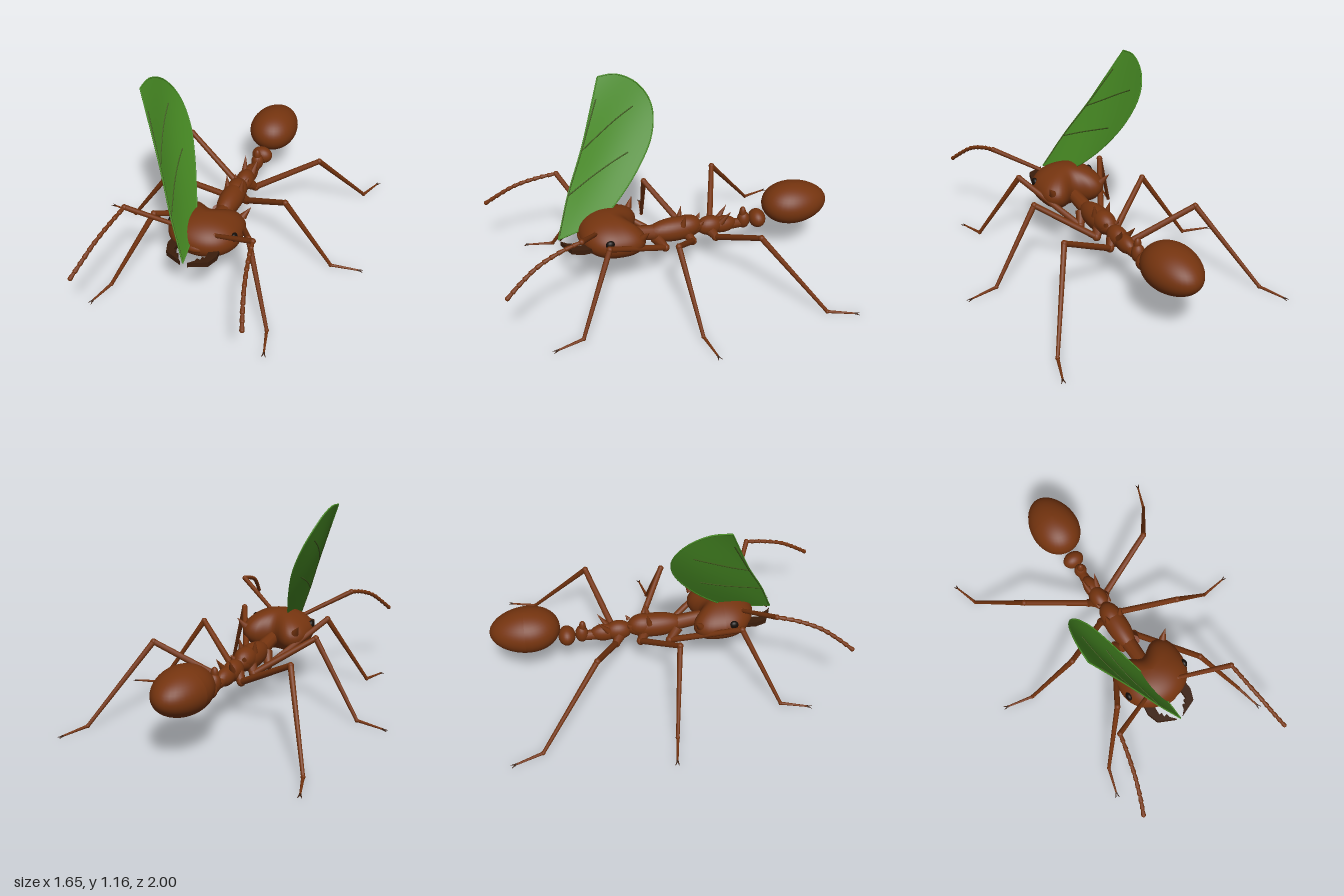
import * as THREE from 'three';

const material = (name, color, side = THREE.FrontSide) => {
  const m = new THREE.MeshStandardMaterial({ color, side });
  m.name = name;
  return m;
};

export function createModel() {
  const brown = material('chestnut brown', 0x75340f);
  const dark = material('dark brown', 0x3a1d0c);
  const black = material('eye black', 0x140d08);
  const green = material('leaf green', 0x488c24, THREE.DoubleSide);
  const veinGreen = material('vein olive', 0x3f5a1c);
  const model = new THREE.Group();
  const V = (a) => new THREE.Vector3(...a);

  const add = (name, geometry, mat, parent = model) => {
    const mesh = new THREE.Mesh(geometry, mat);
    mesh.name = name;
    parent.add(mesh);
    return mesh;
  };
  const group = (name) => {
    const g = new THREE.Group();
    g.name = name;
    model.add(g);
    return g;
  };
  const blob = (name, centre, radii, mat = brown, parent = model) => {
    const mesh = add(name, new THREE.SphereGeometry(1, 24, 16), mat, parent);
    mesh.position.set(...centre);
    mesh.scale.set(...radii);
  };
  const joint = (name, centre, r, parent) => {
    add(name, new THREE.SphereGeometry(r, 12, 8), brown, parent).position.set(...centre);
  };
  // Tapered rod between two points
  const rod = (name, a, b, ra, rb, parent = model, mat = brown) => {
    const from = V(a), dir = V(b).sub(from);
    const mesh = add(name, new THREE.CylinderGeometry(rb, ra, dir.length(), 10), mat, parent);
    mesh.position.copy(from).addScaledVector(dir, 0.5);
    mesh.quaternion.setFromUnitVectors(new THREE.Vector3(0, 1, 0), dir.normalize());
  };

  // Abdomen: egg, slimmer toward the rear
  const egg = new THREE.SphereGeometry(1, 36, 24);
  const p = egg.attributes.position;
  for (let i = 0; i < p.count; i++) {
    const z = p.getZ(i), k = 1 + 0.1 * z;
    p.setXYZ(i, p.getX(i) * 0.147 * k, p.getY(i) * 0.124 * k, z * 0.2);
  }
  egg.computeVertexNormals();
  add('abdomen', egg, brown).position.set(0, 0.357, -0.8);

  // Waist and thorax
  blob('rearWaistNode', [0, 0.28, -0.565], [0.065, 0.054, 0.05]);
  blob('frontWaistNode', [0, 0.285, -0.478], [0.038, 0.055, 0.038]);
  blob('waistNodeCrest', [0, 0.335, -0.472], [0.022, 0.04, 0.02]);
  rod('waistStalk', [0, 0.27, -0.36], [0, 0.265, -0.5], 0.034, 0.026);
  blob('rearThorax', [0, 0.278, -0.345], [0.045, 0.052, 0.085]);
  blob('middleThorax', [0, 0.285, -0.265], [0.054, 0.06, 0.08]);
  blob('frontThorax', [0, 0.3, -0.05], [0.068, 0.072, 0.175]);
  blob('frontThoraxHump', [0, 0.31, -0.12], [0.062, 0.065, 0.09]);
  rod('neck', [0, 0.3, 0.08], [0, 0.33, 0.26], 0.045, 0.04);

  // Head: squared at the back with a notch between two lobes
  const head = new THREE.SphereGeometry(1, 48, 32);
  const h = head.attributes.position;
  for (let i = 0; i < h.count; i++) {
    const nx = h.getX(i), ny = h.getY(i), nz = h.getZ(i);
    const angle = Math.atan2(nz, nx), e = nz < 0 ? 3.4 : 2.1;
    const k = (Math.abs(Math.cos(angle)) ** e + Math.abs(Math.sin(angle)) ** e) ** (-1 / e);
    const x = nx * k * 0.208;
    let z = nz * k * 0.188;
    if (nz < 0) z -= nz * k * 0.075 * Math.exp(-((x / 0.075) ** 2));
    h.setXYZ(i, x, ny * 0.122 + z * 0.04, z);
  }
  head.computeVertexNormals();
  add('head', head, brown).position.set(0, 0.358, 0.335);
  blob('faceShield', [0, 0.36, 0.48], [0.08, 0.035, 0.05]);

  // Toothed jaw blade
  const mandibleShape = new THREE.Shape([
    [0.06, -0.45], [0.14, -0.47], [0.145, -0.52], [0.122, -0.585], [0.02, -0.63],
    [0.05, -0.598], [0.055, -0.575], [0.075, -0.58], [0.075, -0.555], [0.092, -0.555], [0.09, -0.51],
  ].map((q) => new THREE.Vector2(...q)));
  const mandibleGeometry = new THREE.ExtrudeGeometry(mandibleShape, { depth: 0.03, bevelEnabled: false });
  mandibleGeometry.rotateX(-Math.PI / 2);

  for (const s of [1, -1]) {
    const side = s > 0 ? 'left' : 'right';
    const M = ([x, y, z]) => [x * s, y, z];

    const mandible = add(side + 'Mandible', mandibleGeometry, dark);
    mandible.scale.x = s;
    mandible.position.y = 0.33;
    blob(side + 'Eye', M([0.187, 0.395, 0.38]), [0.018, 0.026, 0.026], black);

    // Spines on head and thorax
    const spines = group(side + 'Spines');
    [
      [[0.165, 0.39, 0.19], [0.2, 0.442, 0.16], 0.022],
      [[0.04, 0.34, -0.085], [0.052, 0.415, -0.1], 0.02],
      [[0.035, 0.33, -0.2], [0.045, 0.352, -0.215], 0.014],
      [[0.026, 0.305, -0.325], [0.042, 0.38, -0.38], 0.02],
    ].forEach(([a, b, r]) => rod('spine', M(a), M(b), r, 0.001, spines));

    // Antenna: long first segment, then a curved chain of beads
    const antenna = group(side + 'Antenna');
    const socket = M([0.1, 0.425, 0.44]), elbow = M([0.365, 0.575, 0.57]);
    joint('antennaSocket', socket, 0.02, antenna);
    rod('antennaShaft', socket, elbow, 0.012, 0.015, antenna);
    joint('antennaElbow', elbow, 0.016, antenna);
    const whip = new THREE.CatmullRomCurve3([
      elbow, M([0.385, 0.552, 0.68]), M([0.415, 0.505, 0.81]), M([0.445, 0.44, 0.91]), M([0.472, 0.382, 0.985]),
    ].map(V));
    const beads = 11;
    for (let i = 0; i < beads; i++) {
      const a = whip.getPointAt(i / beads).toArray(), b = whip.getPointAt((i + 1) / beads).toArray();
      rod('antennaBead', a, b, 0.008, 0.013, antenna);
      joint('antennaBeadEnd', b, 0.013, antenna);
    }

    // Legs: body joint, hip, knee, ankle, toe
    const legs = {
      FrontLeg: [[0.035, 0.29, 0.08], [0.07, 0.23, 0.03], [0.28, 0.435, 0.405], [0.47, 0.016, 0.61], [0.508, 0.008, 0.755]],
      MiddleLeg: [[0.03, 0.28, -0.11], [0.06, 0.235, -0.14], [0.36, 0.435, 0.04], [0.638, 0.016, -0.015], [0.795, 0.008, -0.042]],
      HindLeg: [[0.03, 0.27, -0.26], [0.06, 0.235, -0.285], [0.416, 0.435, -0.418], [0.64, 0.016, -0.75], [0.69, 0.008, -0.895]],
    };
    for (const [name, points] of Object.entries(legs)) {
      const leg = group(side + name);
      const [body, hip, knee, ankle, toe] = points.map(M);
      rod('hip', body, hip, 0.036, 0.022, leg);
      joint('hipJoint', hip, 0.025, leg);
      rod('thigh', hip, knee, 0.019, 0.016, leg);
      joint('knee', knee, 0.018, leg);
      rod('shin', knee, ankle, 0.016, 0.01, leg);
      joint('ankle', ankle, 0.012, leg);
      rod('foot', ankle, toe, 0.009, 0.005, leg);
      // Forked claw
      const out = V(toe).sub(V(ankle)).setY(0).normalize();
      for (const f of [1, -1]) {
        const tip = V(toe).addScaledVector(out, 0.03)
          .add(new THREE.Vector3(-out.z, 0, out.x).multiplyScalar(0.011 * f));
        rod('claw', toe, [tip.x, 0.004, tip.z], 0.005, 0.001, leg, dark);
      }
    }
  }

  // Leaf held in the jaws: a slanted, slightly cupped blade, outlined in z and y
  const leafX = (z, y) => {
    const t = (y - 0.36) / 0.795;
    const d = Math.max(0, 0.635 - 0.345 * t - z);
    return -0.375 * t - 0.03 * Math.sin(Math.min(1, d / 0.45) * Math.PI) * Math.sin(t * Math.PI);
  };
  const curve = (pts) => new THREE.SplineCurve(pts.map((q) => new THREE.Vector2(...q)));
  const frontEdge = curve([[0.638, 0.36], [0.61, 0.43], [0.545, 0.59], [0.435, 0.81], [0.36, 0.99], [0.295, 1.15]]);
  const rearEdge = curve([[0.638, 0.36], [0.46, 0.4], [0.33, 0.455], [0.2, 0.57], [0.1, 0.69], [0.03, 0.805],
    [0.0, 0.925], [0.018, 1.02], [0.085, 1.105], [0.19, 1.155], [0.295, 1.152]]);
  const rows = 44, cols = 10;
  const blade = new THREE.PlaneGeometry(1, 1, cols, rows);
  const b = blade.attributes.position;
  for (let i = 0; i <= rows; i++) {
    const f = frontEdge.getPoint(i / rows), r = rearEdge.getPoint(i / rows);
    for (let j = 0; j <= cols; j++) {
      const q = f.clone().lerp(r, j / cols);
      b.setXYZ(i * (cols + 1) + j, leafX(q.x, q.y), q.y, q.x);
    }
  }
  blade.computeVertexNormals();
  const leaf = group('leaf');
  add('leafBlade', blade, green, leaf);

  // Midrib, side veins and a fine rim
  const strand = (name, pts, radius, mat) => {
    const path = new THREE.CatmullRomCurve3(pts.map((q) => new THREE.Vector3(leafX(q.x, q.y), q.y, q.x)));
    add(name, new THREE.TubeGeometry(path, 40, radius, 6), mat, leaf);
  };
  [
    [[0.63, 0.375], [0.55, 0.575], [0.44, 0.79], [0.32, 1.04]],
    [[0.55, 0.575], [0.42, 0.635], [0.29, 0.69], [0.17, 0.74]],
    [[0.44, 0.79], [0.33, 0.853], [0.22, 0.917], [0.11, 0.975]],
  ].forEach((pts) => strand('leafVein', curve(pts).getPoints(16), 0.004, veinGreen));
  strand('leafFrontRim', frontEdge.getPoints(30), 0.004, green);
  strand('leafRearRim', rearEdge.getPoints(40), 0.004, green);

  return model;
}
